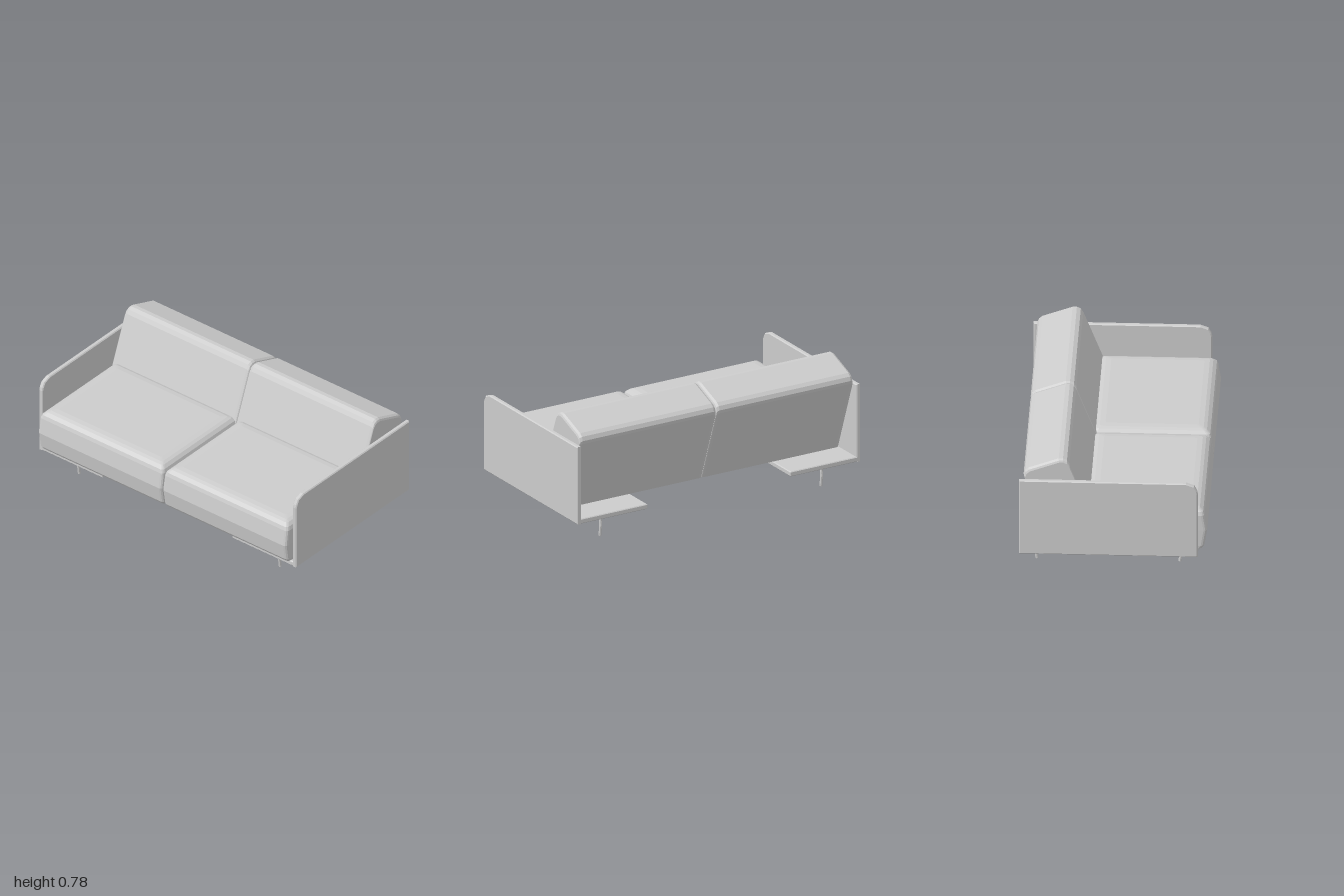
import * as THREE from 'three';

const upholstery = new THREE.MeshStandardMaterial({ color: 0xcccccc, flatShading: true, side: THREE.DoubleSide });
upholstery.name = 'light grey';

// Skins a list of equal-length point rings; optionally closes the rings and caps the ends.
function loft(rings, closed, capStart, capEnd) {
  const pos = [];
  const tri = (a, b, c) => pos.push(...a, ...b, ...c);
  const n = rings[0].length;
  for (let i = 0; i < rings.length - 1; i++) {
    for (let j = 0; j < (closed ? n : n - 1); j++) {
      const k = (j + 1) % n, a = rings[i], b = rings[i + 1];
      tri(a[j], a[k], b[k]);
      tri(a[j], b[k], b[j]);
    }
  }
  const cap = (ring, flip) => {
    const c = [0, 1, 2].map((d) => ring.reduce((s, p) => s + p[d], 0) / n);
    for (let j = 0; j < n; j++) {
      const k = (j + 1) % n;
      if (flip) tri(c, ring[k], ring[j]);
      else tri(c, ring[j], ring[k]);
    }
  };
  if (capStart) cap(rings[0], true);
  if (capEnd) cap(rings[rings.length - 1], false);
  const g = new THREE.BufferGeometry();
  g.setAttribute('position', new THREE.Float32BufferAttribute(pos, 3));
  g.computeVertexNormals();
  return g;
}

// Horizontal rectangle with rounded corners, counter-clockwise from above.
function roundedRing(y, hw, front, back, r) {
  const ring = [];
  const corners = [[hw - r, front - r, 0], [hw - r, back + r, 1], [-hw + r, back + r, 2], [-hw + r, front - r, 3]];
  for (const [cx, cz, q] of corners) {
    for (let i = 0; i <= 3; i++) {
      const a = (q - 1 + i / 3) * Math.PI / 2;
      ring.push([cx + r * Math.cos(a), y, cz - r * Math.sin(a)]);
    }
  }
  return ring;
}

// Seat cushion: hollow underneath, with a bulging front and soft top edge.
function seatGeometry() {
  const levels = [ // y, half width, front z, back z, corner radius
    [0.178, 0.472, 0.512, -0.172, 0.02],
    [0.186, 0.478, 0.535, -0.176, 0.022],
    [0.205, 0.481, 0.548, -0.178, 0.022],
    [0.31, 0.482, 0.565, -0.178, 0.022],
    [0.41, 0.48, 0.549, -0.172, 0.022],
    [0.432, 0.471, 0.541, -0.162, 0.02],
    [0.449, 0.453, 0.52, -0.145, 0.018],
    [0.457, 0.433, 0.5, -0.125, 0.016],
    [0.461, 0.4, 0.468, -0.092, 0.014],
  ];
  return loft(levels.map((l) => roundedRing(...l)), true, false, true);
}

// Back cushion: leaning wedge profile swept sideways, narrowing at both ends.
function backGeometry() {
  const profile = [ // z, y
    [-0.07, 0.25], [-0.153, 0.46], [-0.263, 0.74], [-0.278, 0.765], [-0.302, 0.776], [-0.328, 0.775],
    [-0.51, 0.708], [-0.53, 0.69], [-0.539, 0.665], [-0.535, 0.645], [-0.365, 0.178],
  ];
  const ends = [[0.482, 0.965], [0.477, 0.985], [0.463, 1]];
  const stations = [...ends.map(([x, s]) => [-x, s]), ...ends.slice().reverse()];
  const rings = stations.map(([x, s]) => profile.map(([z, y]) => [x, 0.21 + (y - 0.21) * s, -0.26 + (z + 0.26) * s]));
  return loft(rings, false, true, true);
}

// Upright side panel with clipped upper front corner.
function panelGeometry() {
  const outline = [[-0.565, 0.145], [0.51, 0.145], [0.51, 0.575], [0.505, 0.595], [0.488, 0.627], [0.44, 0.645], [-0.565, 0.645]];
  const shape = new THREE.Shape(outline.map(([z, y]) => new THREE.Vector2(z, y)));
  const g = new THREE.ExtrudeGeometry(shape, {
    depth: 0.018, bevelEnabled: true, bevelSize: 0.006, bevelThickness: 0.006, bevelOffset: -0.006, bevelSegments: 1,
  });
  return g.translate(0, 0, -0.009).rotateY(-Math.PI / 2);
}

// Base plate: shallow tray, open underneath, with a softened rim.
function plateGeometry() {
  const levels = [ // y, inset
    [0.146, 0.005], [0.151, 0], [0.173, 0], [0.178, 0.005],
  ];
  return loft(levels.map(([y, d]) => roundedRing(y, 0.241 - d, 0.51 - d, -0.565 + d, 0.004)), true, false, true);
}

// Slender leg with a bend at mid height.
function legGeometry(dir) {
  const path = new THREE.CurvePath();
  const pts = [[0.177, -0.004], [0.072, 0.009], [0, -0.001]].map(([y, z]) => new THREE.Vector3(0, y, z * dir));
  path.add(new THREE.LineCurve3(pts[0], pts[1]));
  path.add(new THREE.LineCurve3(pts[1], pts[2]));
  return new THREE.TubeGeometry(path, 8, 0.009, 8, false);
}

export function createModel() {
  const sofa = new THREE.Group();
  sofa.name = 'sofa';
  const add = (name, geometry, x = 0, z = 0) => {
    const mesh = new THREE.Mesh(geometry, upholstery);
    mesh.name = name;
    mesh.position.set(x, 0, z);
    sofa.add(mesh);
  };

  const seat = seatGeometry(), back = backGeometry(), panel = panelGeometry(), plate = plateGeometry();
  const frontLeg = legGeometry(1), rearLeg = legGeometry(-1);

  for (const [side, s] of [['left', 1], ['right', -1]]) {
    add(side + 'SeatCushion', seat, s * 0.483);
    add(side + 'BackCushion', back, s * 0.483);
    add(side + 'SidePanel', panel, s * 0.985);
    add(side + 'BasePlate', plate, s * 0.745);
    add(side + 'FrontLeg', frontLeg, s * 0.78, 0.394);
    add(side + 'RearLeg', rearLeg, s * 0.78, -0.467);
  }
  return sofa;
}
